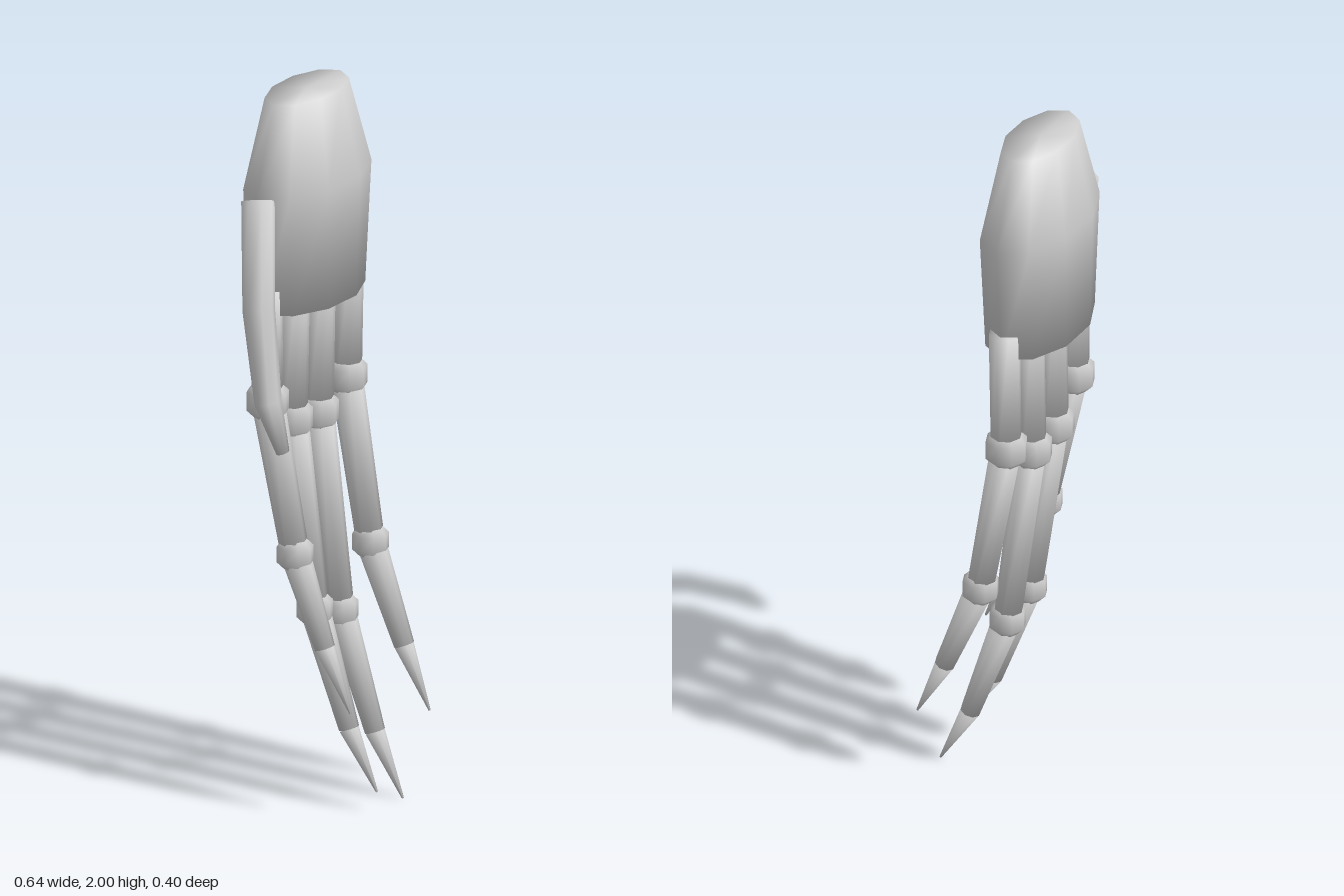
import * as THREE from 'three';

const bone = new THREE.MeshStandardMaterial({ color: 0xcccccc });
bone.name = 'plain grey';

// Closed solid through rings [x, y, z, radius across, radius deep], listed from top to bottom.
// Normals are smooth all over and roll over the end rims.
function loft(name, rings, sides) {
  const centres = rings.map(r => new THREE.Vector3(r[0], r[1], r[2]));
  const pos = [], index = [], last = rings.length - 1;
  const axes = centres.map((c, k) => {
    const d = new THREE.Vector3();
    if (k > 0) d.add(c.clone().sub(centres[k - 1]).normalize());
    if (k < last) d.add(centres[k + 1].clone().sub(c).normalize());
    return d.normalize();
  });
  rings.forEach(([, , , ru, rv = ru], k) => {
    const d = axes[k];
    const u = new THREE.Vector3(1, 0, 0).addScaledVector(d, -d.x).normalize();
    const v = d.clone().cross(u);
    for (let i = 0; i < sides; i++) {
      const a = (i / sides) * Math.PI * 2;
      const p = centres[k].clone()
        .addScaledVector(u, Math.cos(a) * ru)
        .addScaledVector(v, Math.sin(a) * rv);
      pos.push(p.x, p.y, p.z);
    }
  });
  for (let k = 0; k < last; k++) {
    for (let i = 0; i < sides; i++) {
      const a = k * sides + i, b = k * sides + (i + 1) % sides;
      index.push(a, b, b + sides, a, b + sides, a + sides);
    }
  }
  // end cap centres
  const c0 = pos.length / 3, c1 = c0 + 1;
  pos.push(...centres[0].toArray(), ...centres[last].toArray());
  const geo = new THREE.BufferGeometry();
  geo.setAttribute('position', new THREE.Float32BufferAttribute(pos, 3));
  geo.setIndex(index);
  geo.computeVertexNormals();

  // blend the rim normals with the cap directions
  const n = geo.attributes.normal, t = new THREE.Vector3();
  for (const [k, centre, sign] of [[0, c0, -1], [last, c1, 1]]) {
    for (let i = 0; i < sides; i++) {
      const id = k * sides + i;
      t.fromBufferAttribute(n, id).addScaledVector(axes[k], sign * 0.8).normalize();
      n.setXYZ(id, t.x, t.y, t.z);
      const j = k * sides + (i + 1) % sides;
      if (sign < 0) index.push(centre, j, id);
      else index.push(centre, id, j);
    }
    t.copy(axes[k]).multiplyScalar(sign);
    n.setXYZ(centre, t.x, t.y, t.z);
  }
  geo.setIndex(index);
  const mesh = new THREE.Mesh(geo, bone);
  mesh.name = name;
  return mesh;
}

// Chunky ball joint between two finger bones
function joint(name, [x, y, z], r) {
  return loft(name, [
    [x, y + r * 0.85, z, r * 0.6],
    [x, y + r * 0.45, z, r],
    [x, y - r * 0.45, z, r],
    [x, y - r * 0.85, z, r * 0.6],
  ], 8);
}

// Finger made of three bones, two joints and a pointed nail
function finger(name, { root, knuckle, middle, nail, tip }) {
  const g = new THREE.Group();
  g.name = name;
  g.add(
    loft('handBone', [[...root, 0.043], [...knuckle, 0.043]], 8),
    joint('knuckle', knuckle, 0.058),
    loft('upperBone', [[...knuckle, 0.045], [...middle, 0.039]], 8),
    joint('middleJoint', middle, 0.05),
    loft('lowerBone', [[...middle, 0.041], [...nail, 0.028]], 8),
    loft('nail', [[...nail, 0.027], [...tip, 0.003]], 8),
  );
  return g;
}

export function createModel() {
  const model = new THREE.Group();
  model.name = 'hand';

  // Palm, narrowing to the wrist
  model.add(loft('palm', [
    [0.08, 2, -0.077, 0.155, 0.084],
    [0.083, 1.75, -0.077, 0.235, 0.129],
    [0.081, 1.41, -0.077, 0.207, 0.124],
  ], 10));

  // Bent thumb
  model.add(loft('thumb', [
    [-0.148, 1.745, -0.075, 0.042, 0.048],
    [-0.25, 1.48, 0.0, 0.042, 0.046],
    [-0.277, 1.235, 0.05, 0.042, 0.034],
    [-0.262, 1.095, 0.088, 0.02, 0.017],
  ], 8));

  // Fingers: x, root x, then y and z at knuckle, middle joint, nail base and tip
  const fingers = [
    ['indexFinger', -0.103, -0.11, 1.16, -0.075, 0.74, 0.015, 0.49, 0.113, 0.32],
    ['middleFinger', 0.02, 0.02, 1.07, -0.083, 0.54, -0.008, 0.22, 0.105, 0.057],
    ['ringFinger', 0.14, 0.14, 1.055, -0.083, 0.5, -0.01, 0.175, 0.105, 0.002],
    ['littleFinger', 0.264, 0.27, 1.12, -0.078, 0.66, 0.002, 0.385, 0.113, 0.215],
  ];
  for (const [name, x, rootX, ky, kz, my, mz, ny, nz, ty] of fingers) {
    model.add(finger(name, {
      root: [rootX, 1.48, -0.075],
      knuckle: [x, ky, kz],
      middle: [x, my, mz],
      nail: [x, ny, nz],
      tip: [x, ty, 0.197],
    }));
  }
  return model;
}
